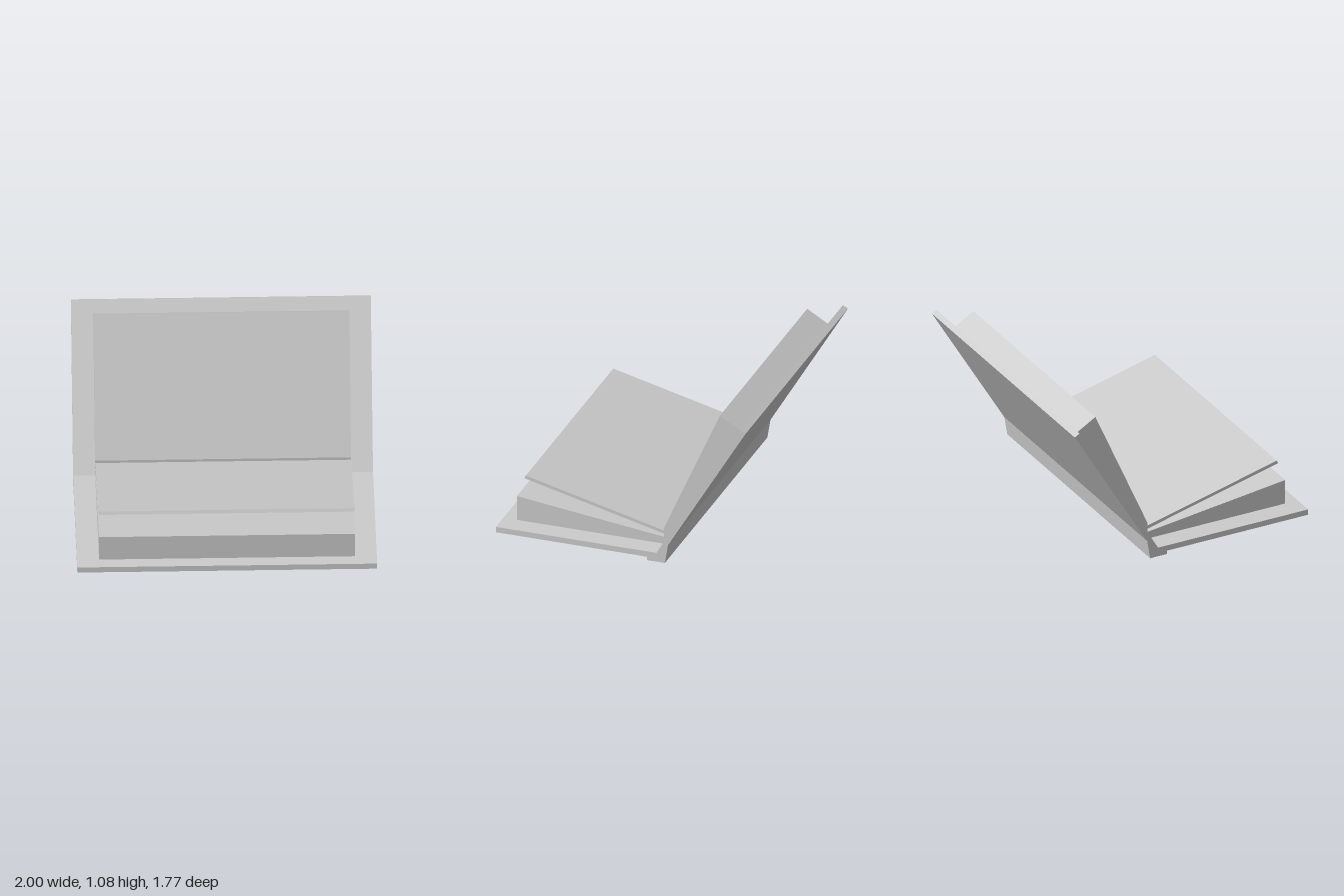
import * as THREE from 'three';

const material = new THREE.MeshStandardMaterial({ color: 0xcccccc, flatShading: true });

// Extrudes a side profile of [z, y] points across the width, centred on x = 0
function slab(name, width, profile) {
  const shape = new THREE.Shape(profile.map(([z, y]) => new THREE.Vector2(z, y)));
  const geometry = new THREE.ExtrudeGeometry(shape, { depth: width, bevelEnabled: false });
  geometry.translate(0, 0, -width / 2);
  geometry.rotateY(-Math.PI / 2);
  const mesh = new THREE.Mesh(geometry, material);
  mesh.name = name;
  return mesh;
}

export function createModel() {
  const book = new THREE.Group();
  book.name = 'openBook';
  const coverWidth = 2, pageWidth = 1.706;

  // Both boards and the spine in one bent strip
  book.add(slab('cover', coverWidth, [
    [0.885, 0.025], [0.885, 0.065], [-0.253, 0.065], [-0.849, 1.077], [-0.885, 1.057],
    [-0.335, 0.135], [-0.313, 0], [-0.187, 0], [-0.187, 0.025],
  ]));

  // Wedge of pages lying on the front board
  book.add(slab('lowerPages', pageWidth, [
    [0.79, 0.065], [0.79, 0.242], [-0.253, 0.116], [-0.253, 0.065],
  ]));

  // Wedge of pages leaning on the raised board
  book.add(slab('upperPages', pageWidth, [
    [-0.253, 0.065], [-0.253, 0.182], [-0.649, 1.084], [-0.802, 0.994],
  ]));

  // Loose leaf standing up between the two
  book.add(slab('turningPage', pageWidth, [
    [0.737, 0.384], [0.727, 0.405], [-0.253, 0.163], [-0.253, 0.14],
  ]));

  return book;
}
